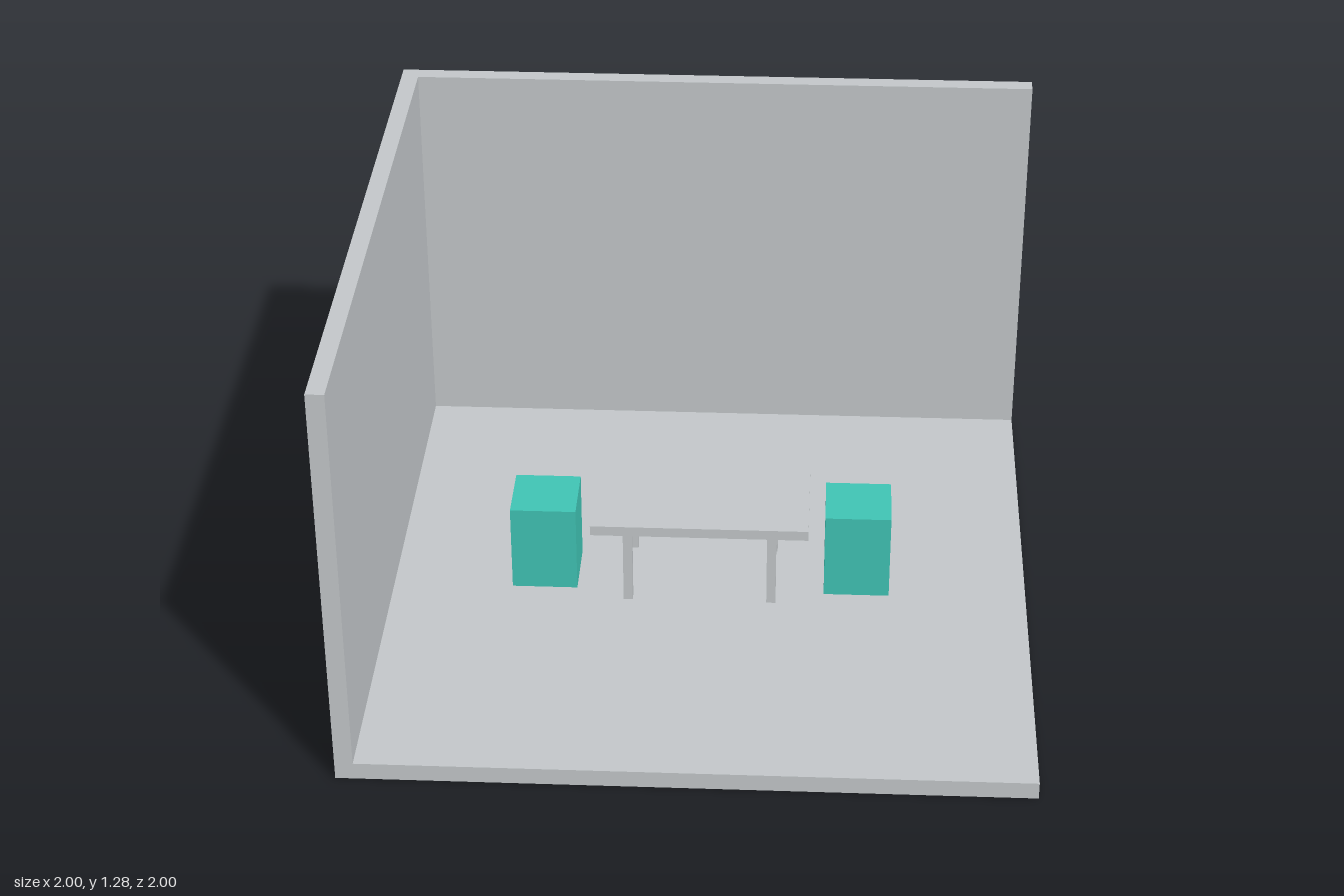
import * as THREE from 'three';

export function createModel() {
  const model = new THREE.Group();
  const grey = new THREE.MeshStandardMaterial({ color: 0xc3c7ca });
  grey.name = 'pale grey';
  const teal = new THREE.MeshStandardMaterial({ color: 0x40c4b4 });
  teal.name = 'teal';

  // Adds a box given by its lowest and highest corners
  function box(name, material, [x0, y0, z0], [x1, y1, z1], parent = model) {
    const mesh = new THREE.Mesh(new THREE.BoxGeometry(x1 - x0, y1 - y0, z1 - z0), material);
    mesh.position.set((x0 + x1) / 2, (y0 + y1) / 2, (z0 + z1) / 2);
    mesh.name = name;
    parent.add(mesh);
  }

  const t = 0.053; // floor and wall thickness
  const h = 1.28;

  // Room shell: floor, back wall and one side wall
  box('floor', grey, [-1, 0, -1], [1, t, 1]);
  box('backWall', grey, [-1, t, -1], [1, h, -1 + t]);
  box('rightWall', grey, [-1, t, -1 + t], [-1 + t, h, 1]);

  // Table with four square legs
  const table = new THREE.Group();
  table.name = 'table';
  model.add(table);
  box('tableTop', grey, [-0.33, 0.303, -0.18], [0.33, 0.335, 0.18], table);
  for (const sx of [-1, 1]) {
    for (const sz of [-1, 1]) {
      const x = sx * 0.219, z = sz * 0.14, r = 0.014;
      box('tableLeg', grey, [x - r, t, z - r], [x + r, 0.303, z + r], table);
    }
  }

  // Block stools at both ends of the table
  for (const [name, x] of [['rightStool', -0.48], ['leftStool', 0.48]]) {
    box(name, teal, [x - 0.1, t, -0.1], [x + 0.1, 0.332, 0.1]);
  }

  return model;
}
